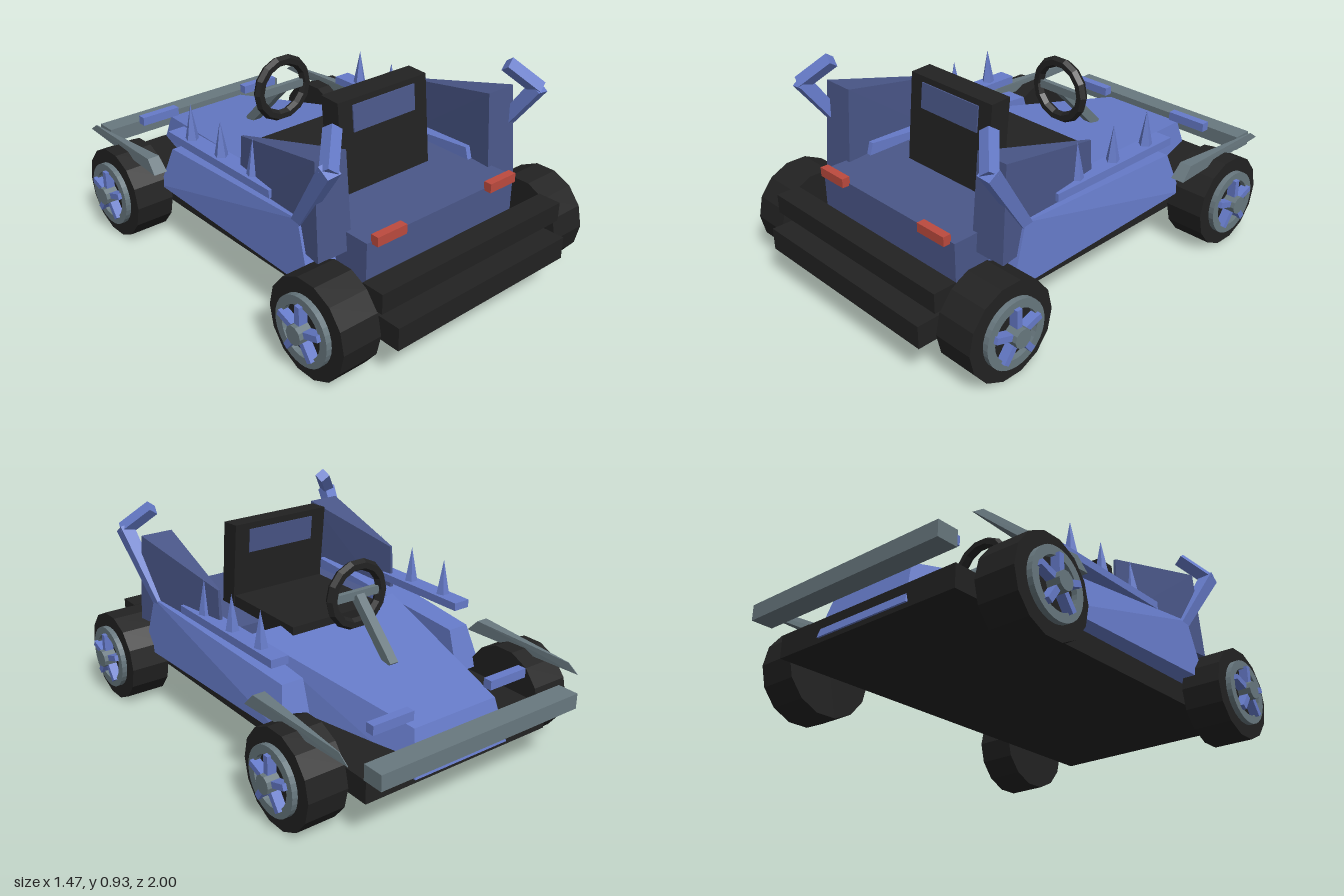
import * as THREE from 'three';
import { ConvexGeometry } from 'three/addons/geometries/ConvexGeometry.js';

const paint = (name, color) => {
  const m = new THREE.MeshStandardMaterial({ color, flatShading: true });
  m.name = name;
  return m;
};

export function createModel() {
  const blue = paint('bodyBlue', 0x667bc9);
  const navy = paint('darkBlue', 0x4a5789);
  const black = paint('black', 0x222222);
  const grey = paint('steelGrey', 0x68787f);
  const red = paint('lampRed', 0xbc4a3e);
  const kart = new THREE.Group();
  kart.name = 'kart';

  const add = (name, geo, mat, parent = kart) => {
    const mesh = new THREE.Mesh(geo, mat);
    mesh.name = name;
    parent.add(mesh);
    return mesh;
  };
  // Box given by its lower and upper limits
  const box = (name, mat, x0, x1, y0, y1, z0, z1, parent) => {
    const mesh = add(name, new THREE.BoxGeometry(Math.abs(x1 - x0), y1 - y0, z1 - z0), mat, parent);
    mesh.position.set((x0 + x1) / 2, (y0 + y1) / 2, (z0 + z1) / 2);
    return mesh;
  };
  // Convex solid from corner points, optionally mirrored in x
  const solid = (name, mat, pts, s = 1) =>
    add(name, new ConvexGeometry(pts.map(([x, y, z]) => new THREE.Vector3(s * x, y, z))), mat);
  // Symmetric solid: each corner is repeated on the other side
  const symmetric = (name, mat, pts) => solid(name, mat, pts.flatMap(([x, y, z]) => [[x, y, z], [-x, y, z]]));
  // Square bar between two points
  const bar = (name, mat, a, b, w0, w1) => {
    const p = new THREE.Vector3(...a), q = new THREE.Vector3(...b);
    const geo = new THREE.CylinderGeometry(w1 / Math.SQRT2, w0 / Math.SQRT2, p.distanceTo(q), 4);
    geo.rotateY(Math.PI / 4);
    const mesh = add(name, geo, mat);
    mesh.position.copy(p).lerp(q, 0.5);
    mesh.quaternion.setFromUnitVectors(new THREE.Vector3(0, 1, 0), q.sub(p).normalize());
    return mesh;
  };

  // Chassis, rear deck and bumpers
  box('chassis', black, -0.47, 0.47, 0.16, 0.257, -0.875, 1);
  box('rearDeck', navy, -0.41, 0.41, 0.28, 0.47, 0.14, 0.765);
  box('rearBumper', black, -0.5, 0.5, 0.3, 0.383, 0.84, 0.943);
  box('frontBumper', grey, -0.505, 0.505, 0.29, 0.357, -1, -0.905);

  // Sloping hood
  symmetric('hood', blue, [
    [0.24, 0.18, -0.885], [0.21, 0.365, -0.835],
    [0.43, 0.262, 0.05], [0.385, 0.5, -0.01],
  ]);

  // Seat: cushion, leaning back and inset panel
  box('seatCushion', black, -0.235, 0.235, 0.38, 0.522, -0.1, 0.37);
  symmetric('seatBack', black, [
    [0.24, 0.42, 0.365], [0.24, 0.42, 0.455], [0.24, 0.86, 0.315], [0.24, 0.855, 0.41],
  ]);
  symmetric('seatPanel', navy, [
    [0.168, 0.72, 0.327], [0.168, 0.72, 0.43], [0.168, 0.83, 0.315], [0.168, 0.83, 0.418],
  ]);

  // Steering
  bar('steeringColumn', grey, [0, 0.42, -0.46], [0, 0.65, -0.235], 0.042, 0.042);
  const wheelRing = add('steeringWheel', new THREE.TorusGeometry(0.13, 0.025, 6, 14), black);
  wheelRing.position.set(0, 0.655, -0.225);
  box('steeringSpoke', grey, -0.12, 0.12, 0.637, 0.673, -0.237, -0.213);

  for (const s of [1, -1]) {
    const side = s > 0 ? 'left' : 'right';

    // Side pod
    solid(side + 'SidePod', blue, [
      [0.39, 0.262, -0.44], [0.53, 0.262, -0.44], [0.39, 0.447, -0.385], [0.49, 0.447, -0.385],
      [0.37, 0.262, 0.62], [0.56, 0.262, 0.62], [0.375, 0.522, 0.535], [0.545, 0.522, 0.535],
    ], s);

    // Wedge-shaped rear fin
    solid(side + 'Fin', navy, [
      [0.385, 0.39, 0.66], [0.552, 0.39, 0.66], [0.39, 0.792, 0.625], [0.54, 0.792, 0.625],
      [0.455, 0.4, 0.085], [0.475, 0.4, 0.085], [0.46, 0.68, 0.1], [0.47, 0.68, 0.1],
    ], s);

    // Two-piece bent horn
    bar(side + 'HornLower', blue, [s * 0.52, 0.49, 0.51], [s * 0.565, 0.81, 0.735], 0.045, 0.06);
    bar(side + 'HornUpper', blue, [s * 0.57, 0.8, 0.735], [s * 0.47, 0.905, 0.64], 0.05, 0.05);

    // Side rail with spikes
    box(side + 'Rail', blue, s * 0.44, s * 0.52, 0.515, 0.55, -0.36, 0.335);
    for (const z of [-0.235, -0.025, 0.19]) {
      const spike = add(side + 'Spike', new THREE.ConeGeometry(0.032, 0.17, 5), blue);
      spike.position.set(s * 0.482, 0.622, z);
    }

    // Front fender blade and light bar
    solid(side + 'FenderBlade', grey, [
      [0.562, 0.385, -0.325], [0.625, 0.385, -0.325], [0.565, 0.442, -0.38], [0.62, 0.442, -0.38],
      [0.59, 0.42, -0.875], [0.593, 0.42, -0.875], [0.59, 0.385, -0.925], [0.593, 0.385, -0.925],
    ], s);
    box(side + 'LightBar', blue, s * 0.2, s * 0.395, 0.39, 0.43, -0.82, -0.78);
    box(side + 'TailLamp', red, s * 0.235, s * 0.385, 0.46, 0.5, 0.76, 0.796);
  }

  // Axles and wheels
  const ringShape = new THREE.Shape().absarc(0, 0, 0.143, 0, Math.PI * 2);
  ringShape.holes.push(new THREE.Path().absarc(0, 0, 0.106, 0, Math.PI * 2, true));
  const ringGeo = new THREE.ExtrudeGeometry(ringShape, { depth: 0.03, bevelEnabled: false, curveSegments: 16 });
  ringGeo.rotateY(Math.PI / 2);
  const tyreGeo = new THREE.CylinderGeometry(0.206, 0.206, 0.178, 14).rotateZ(Math.PI / 2);
  const hubGeo = new THREE.CylinderGeometry(0.04, 0.04, 0.06, 10).rotateZ(Math.PI / 2);
  const spokeGeo = new THREE.BoxGeometry(0.04, 0.09, 0.026).translate(0, 0.07, 0);

  for (const z of [-0.605, 0.735]) {
    const axle = add('axle', new THREE.CylinderGeometry(0.022, 0.022, 1.1, 8).rotateZ(Math.PI / 2), grey);
    axle.position.set(0, 0.207, z);
    for (const s of [1, -1]) {
      const wheel = new THREE.Group();
      wheel.name = (z < 0 ? 'front' : 'rear') + (s > 0 ? 'Left' : 'Right') + 'Wheel';
      wheel.position.set(0, 0.206, z);
      wheel.rotation.y = s > 0 ? 0 : Math.PI;
      kart.add(wheel);
      add('tyre', tyreGeo, black, wheel).position.x = 0.587;
      add('rim', ringGeo, grey, wheel).position.x = 0.67;
      add('hub', hubGeo, grey, wheel).position.x = 0.705;
      for (let i = 0; i < 5; i++) {
        const spoke = add('spoke', spokeGeo, blue, wheel);
        spoke.position.x = 0.697;
        spoke.rotation.x = (i * Math.PI * 2) / 5;
      }
    }
  }
  return kart;
}
